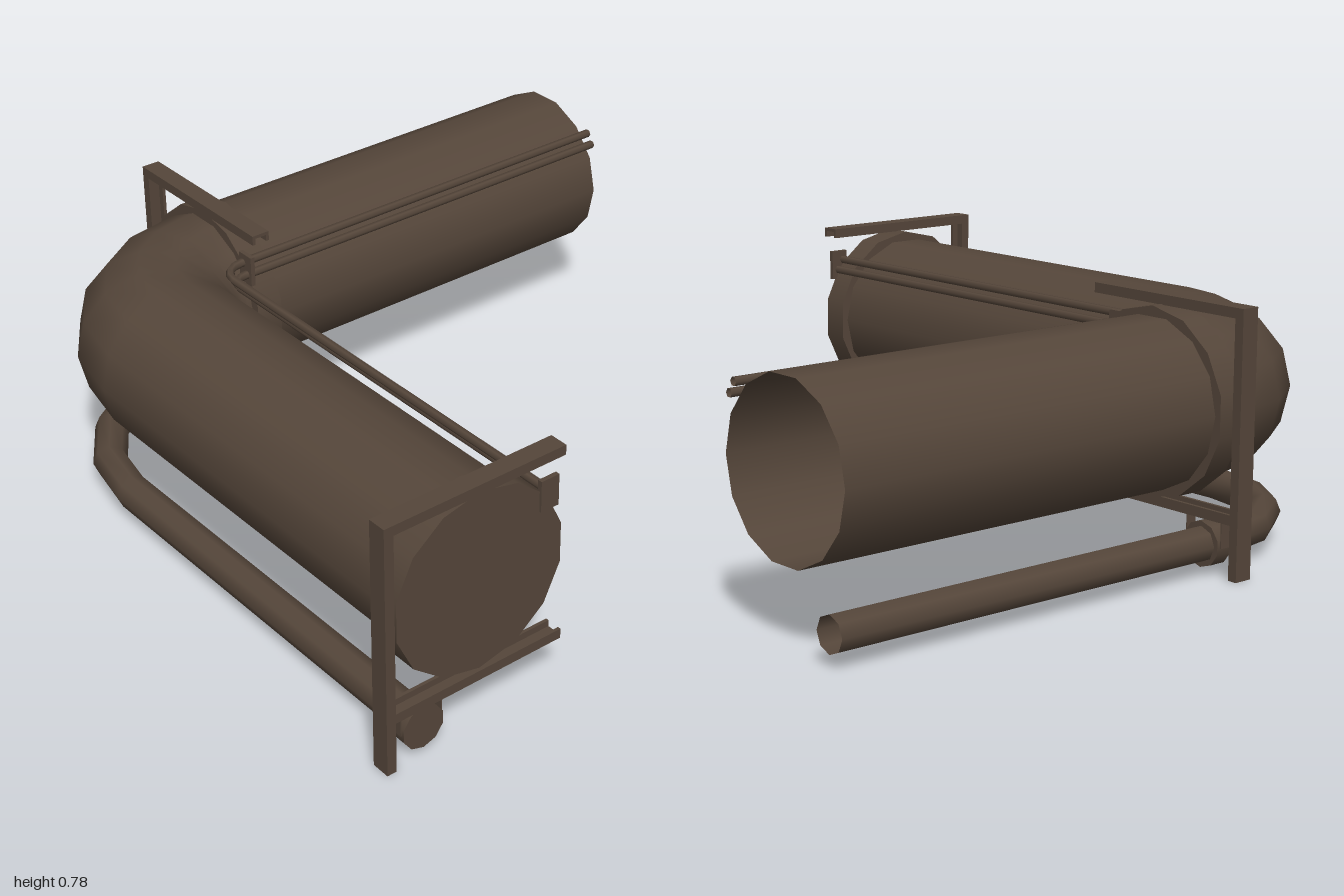
import * as THREE from 'three';

const paint = new THREE.MeshStandardMaterial({ color: 0x55463a, side: THREE.DoubleSide });
paint.name = 'dark brown metal';

// Centre of the elbow shared by every pipe, seen from above
const CX = -0.395, CZ = 0.395;

function add(parent, name, geometry, x = 0, y = 0, z = 0) {
  const mesh = new THREE.Mesh(geometry, paint);
  mesh.name = name;
  mesh.position.set(x, y, z);
  parent.add(mesh);
  return mesh;
}

// L-shaped pipe: straight run along z, four-segment elbow, straight run along x
function elbowPipe(bend, y, radius, sides, endX) {
  const stations = [{ t: 0, x: 0, z: -1 - CZ }];
  for (let i = 0; i <= 4; i++) stations.push({ t: (i * Math.PI) / 8, x: 0, z: 0 });
  stations.push({ t: Math.PI / 2, x: endX - CX, z: 0 });
  const pos = [], nor = [], idx = [];
  stations.forEach((s, i) => {
    const nx = -Math.cos(s.t), nz = Math.sin(s.t);
    for (let j = 0; j < sides; j++) {
      const a = (j / sides) * Math.PI * 2, c = Math.cos(a), h = Math.sin(a);
      const d = bend + radius * c;
      pos.push(CX + s.x + d * nx, y + radius * h, CZ + s.z + d * nz);
      nor.push(c * nx, h, c * nz);
      if (i === stations.length - 1) continue;
      const p = i * sides + j, q = i * sides + ((j + 1) % sides);
      idx.push(p, p + sides, q + sides, p, q + sides, q);
    }
  });
  const g = new THREE.BufferGeometry();
  g.setAttribute('position', new THREE.Float32BufferAttribute(pos, 3));
  g.setAttribute('normal', new THREE.Float32BufferAttribute(nor, 3));
  g.setIndex(idx);
  return g;
}

// Closed ring around a pipe, running from x0 to x1 along x
function collar(parent, name, radius, sides, x0, x1, y, z) {
  const g = new THREE.CylinderGeometry(radius, radius, x1 - x0, sides);
  g.rotateX(Math.PI / 2).rotateY(Math.PI / 2);
  add(parent, name, g, (x0 + x1) / 2, y, z);
}

// Horizontal U-channel; dir is the side of the open mouth
function channelBar(parent, name, y, dir) {
  const bar = new THREE.Group();
  bar.name = name;
  add(bar, 'web', new THREE.BoxGeometry(0.058, 0.01, 0.59), 0, y - dir * 0.01, 0.705);
  for (const s of [-1, 1])
    add(bar, 'lip', new THREE.BoxGeometry(0.01, 0.02, 0.59), s * 0.024, y + dir * 0.005, 0.705);
  parent.add(bar);
}

// Wall bracket with its collars and clips, centred on local x = 0
function supportStation(name) {
  const g = new THREE.Group();
  g.name = name;

  const column = new THREE.Group();
  column.name = 'column';
  add(column, 'web', new THREE.BoxGeometry(0.058, 0.78, 0.01), 0, 0.39, 0.995);
  for (const s of [-1, 1])
    add(column, 'lip', new THREE.BoxGeometry(0.01, 0.78, 0.02), s * 0.024, 0.39, 0.98);
  g.add(column);
  channelBar(g, 'upperBar', 0.765, -1);
  channelBar(g, 'lowerBar', 0.175, 1);

  collar(g, 'mainCollar', 0.28, 14, -0.065, 0.02, 0.472, 0.685);
  collar(g, 'smallCollar', 0.068, 10, -0.038, 0.016, 0.088, 0.87);

  // Strap sides hanging the small pipe from the lower bar
  for (const s of [-1, 1])
    add(g, 'hangerStrap', new THREE.BoxGeometry(0.035, 0.08, 0.003), -0.01, 0.125, 0.87 + s * 0.067);

  // Clip holding the two thin conduits
  add(g, 'conduitClip', new THREE.BoxGeometry(0.014, 0.095, 0.06), 0.02, 0.65, 0.459);
  return g;
}

export function createModel() {
  const model = new THREE.Group();
  model.name = 'pipeCorner';

  add(model, 'mainPipe', elbowPipe(0.29, 0.472, 0.254, 14, 0.98));
  add(model, 'smallPipe', elbowPipe(0.475, 0.088, 0.053, 8, 0.98));
  add(model, 'upperConduit', elbowPipe(0.075, 0.668, 0.013, 6, 0.98));
  add(model, 'lowerConduit', elbowPipe(0.055, 0.635, 0.013, 6, 0.98));

  const right = supportStation('endSupport');
  right.position.x = 0.971;
  model.add(right);

  const corner = supportStation('cornerSupport');
  corner.rotation.y = -Math.PI / 2;
  corner.position.z = 0.36;
  model.add(corner);

  return model;
}
